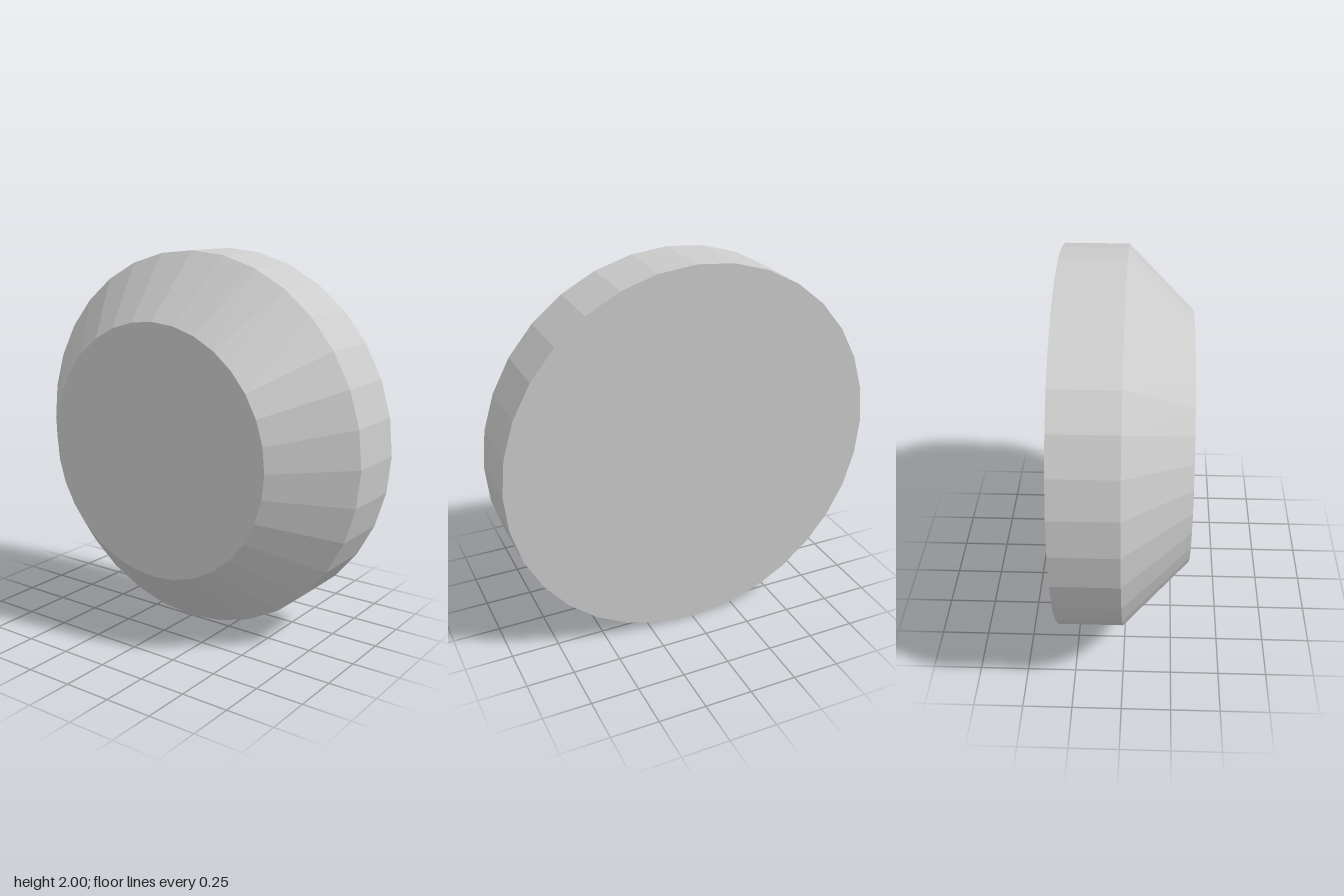
import * as THREE from 'three';

const SIDES = 32;

export function createModel() {
  const group = new THREE.Group();
  const material = new THREE.MeshStandardMaterial({ color: 0xcccccc, flatShading: true });

  // Half profile as (radius, position along the axis): small cap, bevel, rim, large cap
  const profile = [
    [0, -0.333], [0.667, -0.333], [1, 0], [1, 0.333], [0, 0.333],
  ].map(([r, t]) => new THREE.Vector2(r, t));

  // Turned disc with its axis laid along x, bevelled towards -x
  const disc = new THREE.Mesh(new THREE.LatheGeometry(profile, SIDES), material);
  disc.name = 'bevelledDisc';
  disc.rotation.z = -Math.PI / 2;
  disc.position.y = 1;
  group.add(disc);

  return group;
}
